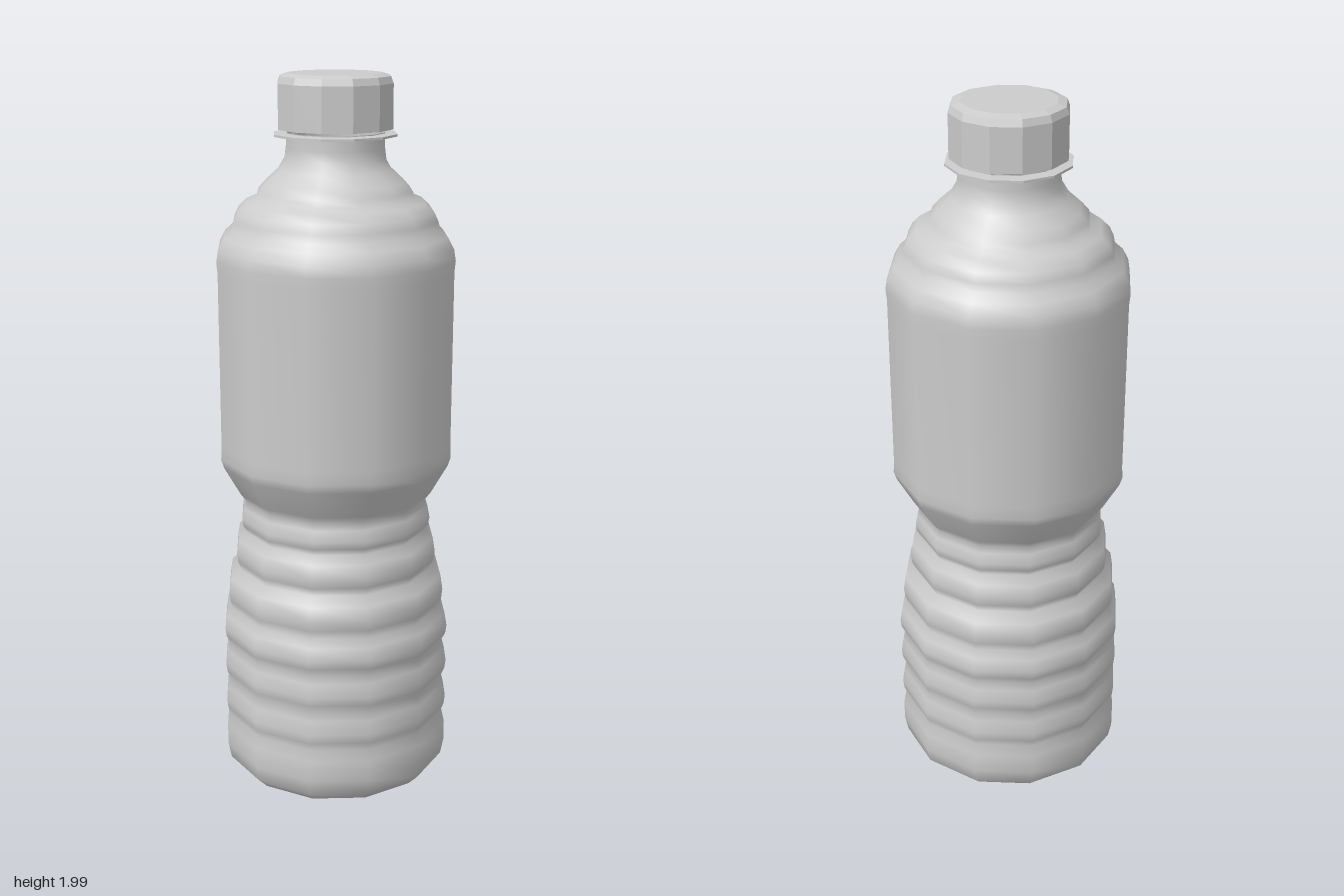
import * as THREE from 'three';

const SIDES = 12;

function lathe(name, profile, flatShading = false) {
  const points = profile.map(([r, y]) => new THREE.Vector2(r, y));
  const material = new THREE.MeshStandardMaterial({ color: 0xcccccc, flatShading, side: THREE.DoubleSide });
  const mesh = new THREE.Mesh(new THREE.LatheGeometry(points, SIDES), material);
  mesh.name = name;
  return mesh;
}

export function createModel() {
  const group = new THREE.Group();
  group.name = 'bottle';

  // Base, rounded into the lowest wall
  const profile = [[0, 0.006], [0.14, 0.01], [0.22, 0.017], [0.285, 0.035], [0.315, 0.065], [0.324, 0.11], [0.324, 0.17]];

  // Ribbed grip: groove height, groove radius, bulge radius above it
  const ribs = [
    [0.2, 0.312, 0.325], [0.315, 0.312, 0.325], [0.425, 0.31, 0.325],
    [0.53, 0.3, 0.311], [0.645, 0.274, 0.287], [0.755, 0.256, 0.27],
  ];
  const gripTop = 0.845;
  ribs.forEach(([y, groove, bulge], i) => {
    const next = i + 1 < ribs.length ? ribs[i + 1][0] : gripTop;
    const h = next - y;
    profile.push([groove, y], [bulge - 0.003, y + h * 0.22], [bulge, y + h * 0.45], [bulge - 0.006, y + h * 0.8]);
  });

  // Waist flare, label wall, stepped shoulder and neck
  profile.push(
    [0.255, gripTop], [0.272, 0.868], [0.318, 0.95], [0.326, 0.975], [0.324, 1.01],
    [0.324, 1.49], [0.327, 1.52], [0.322, 1.55], [0.306, 1.58], [0.284, 1.6],
    [0.279, 1.622], [0.268, 1.645], [0.245, 1.668], [0.216, 1.68],
    [0.21, 1.698], [0.19, 1.72], [0.155, 1.752], [0.138, 1.78], [0.134, 1.81], [0.134, 1.85],
  );
  group.add(lathe('bottleBody', profile));

  // Thin collar under the cap
  group.add(lathe('neckRing', [[0.13, 1.838], [0.166, 1.84], [0.166, 1.846], [0.13, 1.848]], true));

  // Faceted screw cap with a bevelled rim
  group.add(lathe('cap', [[0.13, 1.858], [0.155, 1.858], [0.155, 1.975], [0.148, 1.993], [0.125, 2], [0, 2]], true));

  return group;
}
